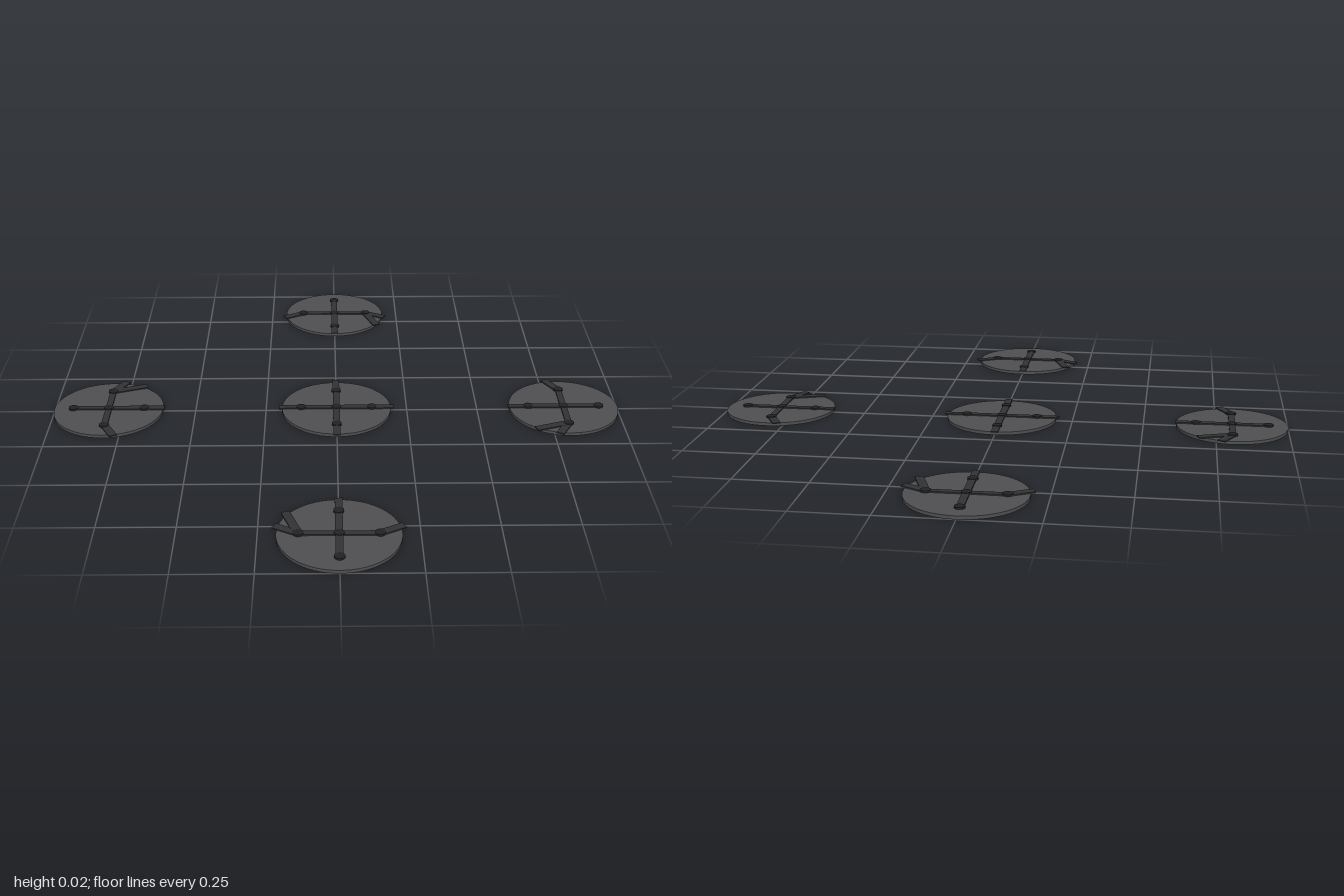
import * as THREE from 'three';

const DISC_R = 0.193, DISC_H = 0.011, RING = 0.807, NODE = 0.125;
const BAR_W = 0.028, BAR_H = 0.004;

const discMat = new THREE.MeshStandardMaterial({ color: 0x505052 });
const barMat = new THREE.MeshStandardMaterial({ color: 0x323335 });
const nodeMat = new THREE.MeshStandardMaterial({ color: 0x222326 });

function add(group, name, geometry, material, x, y, z) {
  const mesh = new THREE.Mesh(geometry, material);
  mesh.name = name;
  mesh.position.set(x, y, z);
  group.add(mesh);
  return mesh;
}

// Flat strip laid on the disc between two [x, z] points
function addBar(group, name, a, b, width = BAR_W, lift = 0) {
  const dx = b[0] - a[0], dz = b[1] - a[1];
  const bar = add(group, name, new THREE.BoxGeometry(Math.hypot(dx, dz), BAR_H, width), barMat,
    (a[0] + b[0]) / 2, DISC_H + BAR_H / 2 + lift, (a[1] + b[1]) / 2);
  bar.rotation.y = -Math.atan2(dz, dx);
}

// Round platform with the five junction studs
function makePlatform(name) {
  const g = new THREE.Group();
  g.name = name;
  add(g, 'disc', new THREE.CylinderGeometry(DISC_R, DISC_R, DISC_H, 64), discMat, 0, DISC_H / 2, 0);
  for (const [x, z] of [[0, 0], [NODE, 0], [-NODE, 0], [0, NODE], [0, -NODE]]) {
    add(g, 'stud', new THREE.CylinderGeometry(0.017, 0.017, 0.006, 20), nodeMat, x, DISC_H + 0.003, z);
  }
  return g;
}

export function createModel() {
  const model = new THREE.Group();
  model.name = 'platforms';

  // Central platform: a full cross reaching just past the rim
  const centre = makePlatform('centrePlatform');
  addBar(centre, 'crossBar', [-0.203, 0], [0.203, 0], 0.024);
  addBar(centre, 'crossBar', [0, -0.203], [0, 0.203], 0.024, 0.0003);
  model.add(centre);

  // Four outer platforms, each turned a quarter about the centre
  for (let i = 0; i < 4; i++) {
    const arm = new THREE.Group();
    arm.name = 'outerArm';
    arm.rotation.y = i * Math.PI / 2;
    const p = makePlatform('outerPlatform');
    p.position.z = -RING;
    addBar(p, 'radialBar', [0, -NODE], [0, 0.197], 0.024, 0.0003);
    addBar(p, 'crossBar', [-NODE, 0], [NODE, 0], 0.022);
    for (const s of [-1, 1]) {
      addBar(p, 'angledBar', [s * NODE, 0], [s * 0.2, 0.041]);
    }
    addBar(p, 'branchBar', [NODE, 0], [0.167, 0.118], BAR_W, 0.0006);
    arm.add(p);
    model.add(arm);
  }
  return model;
}
